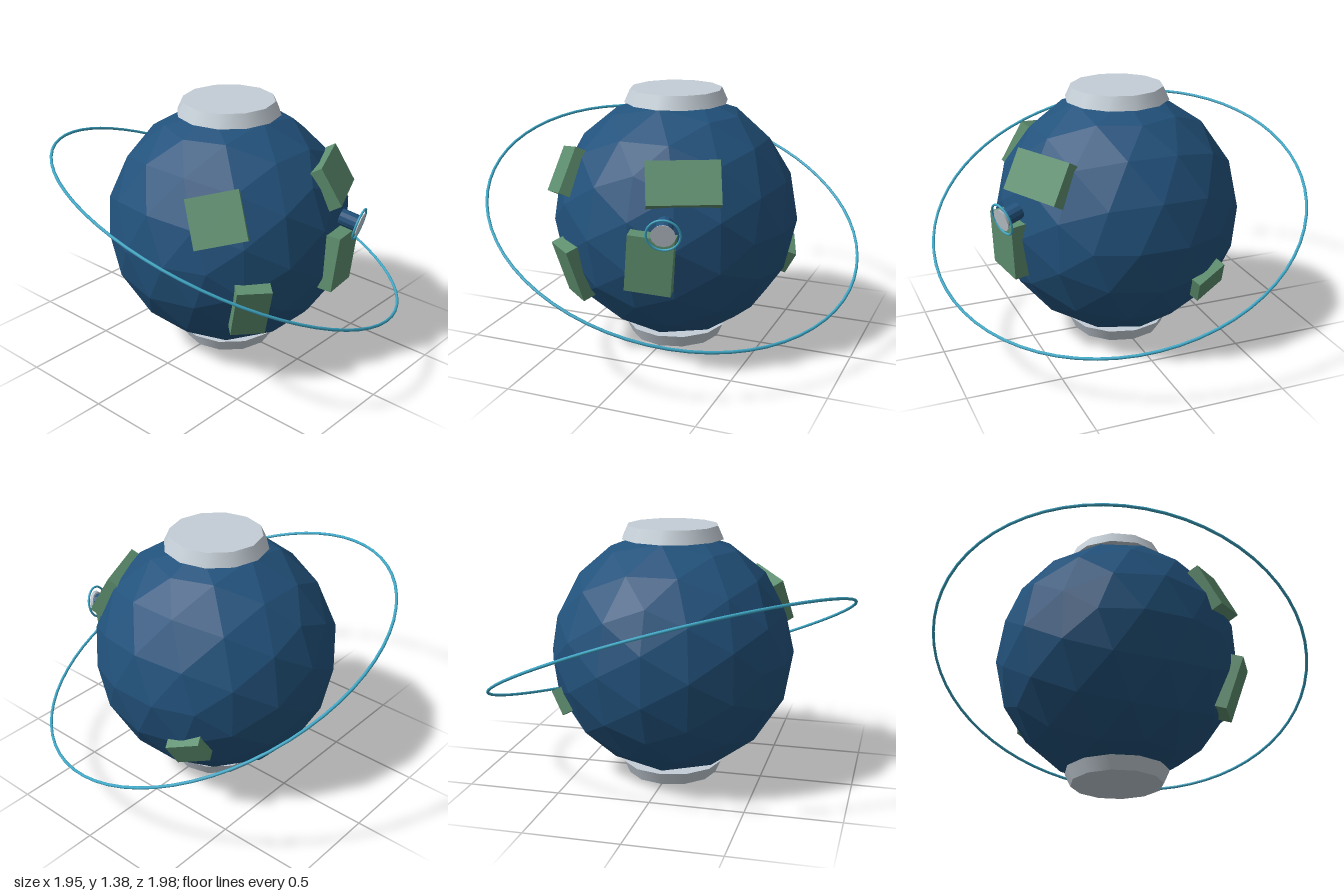
import * as THREE from 'three';

const CENTER_Y = 0.69;
const RADIUS = 0.66;

export function createModel() {
  const material = (name, color, flatShading = false) => {
    const m = new THREE.MeshStandardMaterial({ color, flatShading });
    m.name = name;
    return m;
  };
  const ocean = material('ocean blue', 0x22527c, true);
  const land = material('land green', 0x5f9070, true);
  const ice = material('pale grey', 0xc4ced6);
  const teal = material('orbit teal', 0x3fa9c8);

  const model = new THREE.Group();
  model.name = 'planet';
  const globe = new THREE.Group();
  globe.name = 'globe';
  globe.position.y = CENTER_Y;
  model.add(globe);

  const add = (parent, name, geometry, mat) => {
    const mesh = new THREE.Mesh(geometry, mat);
    mesh.name = name;
    parent.add(mesh);
    return mesh;
  };

  // Group whose +z axis points outward at an azimuth, elevation and roll in degrees
  const outward = (name, az, el, roll = 0) => {
    const g = new THREE.Group();
    g.name = name;
    const rad = THREE.MathUtils.degToRad;
    g.rotation.set(-rad(el), rad(az), rad(roll), 'YXZ');
    globe.add(g);
    return g;
  };

  // Faceted ocean ball
  add(globe, 'ocean', new THREE.IcosahedronGeometry(RADIUS, 2), ocean);

  // Tapered polar caps
  for (const side of [1, -1]) {
    const cap = add(globe, side > 0 ? 'northCap' : 'southCap',
      new THREE.CylinderGeometry(0.245, 0.277, 0.07, 12), ice);
    cap.position.y = side * 0.655;
    if (side < 0) cap.rotation.x = Math.PI;
  }

  // Land blocks: azimuth, elevation, roll, width, height, outer distance
  const blocks = [
    [25.5, 29.5, 0, 0.37, 0.225, 0.68],
    [11, -5, -5, 0.235, 0.3, 0.7],
    [-54, 24.7, 13, 0.27, 0.255, 0.685],
    [-38.5, -19, -3, 0.18, 0.305, 0.69],
    [118, -22, 21, 0.19, 0.14, 0.69],
  ];
  const depth = 0.14;
  blocks.forEach(([az, el, roll, w, h, r], i) => {
    const g = outward(`landBlock${i + 1}`, az, el, roll);
    add(g, 'land', new THREE.BoxGeometry(w, h, depth), land).position.z = r - depth / 2;
  });

  // Tilted orbit ring
  const orbit = add(globe, 'orbitRing', new THREE.TorusGeometry(1.022, 0.008, 8, 64), teal);
  orbit.quaternion.setFromUnitVectors(
    new THREE.Vector3(0, 0, 1), new THREE.Vector3(0.314, 0.91, 0.267).normalize());

  // Small dish: stem, disc and rim ring
  const dish = outward('dish', 17, -14);
  dish.position.set(0.218, 0.115, 0.705);
  const stem = add(dish, 'stem', new THREE.CylinderGeometry(0.044, 0.044, 0.1, 12), ocean);
  stem.rotation.x = Math.PI / 2;
  stem.position.z = -0.055;
  const disc = add(dish, 'disc', new THREE.CylinderGeometry(0.062, 0.055, 0.014, 12), ice);
  disc.rotation.x = Math.PI / 2;
  add(dish, 'rimRing', new THREE.TorusGeometry(0.084, 0.006, 8, 32), teal);

  return model;
}
